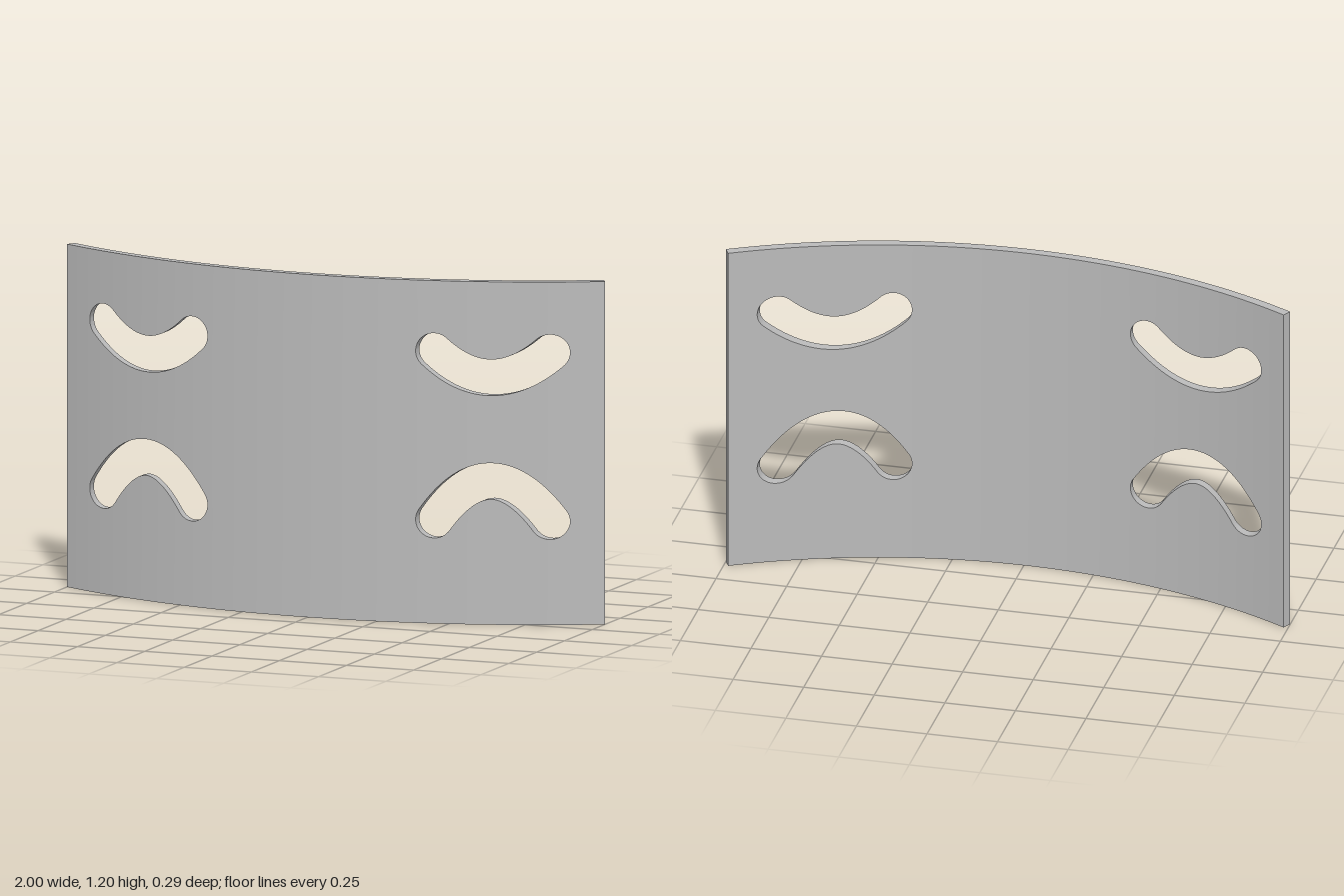
import * as THREE from 'three';
import { toCreasedNormals } from 'three/addons/utils/BufferGeometryUtils.js';

const HEIGHT = 1.195, THICK = 0.034, R_FRONT = 2.08, Z_AXIS = 0.143 - R_FRONT;
const R_BACK = R_FRONT - THICK;
const SLOT_X = 0.64, SLOT_R = 0.063, SLOT_REACH = 0.19, SLOT_HALF = SLOT_R + SLOT_REACH;

// Each slot is a disc swept along a parabola: y at the middle and at the two ends
const slots = [
  { mid: 0.5, end: 0.361 },   // arching slot
  { mid: 0.861, end: 0.949 }, // sagging slot
];

// Lower and upper edge of a slot at a distance u from its middle
function slotEdges({ mid, end }, u) {
  let lo = Infinity, hi = -Infinity;
  for (let i = 0; i <= 240; i++) {
    const s = i / 120 - 1;
    const d = u - s * SLOT_REACH;
    if (Math.abs(d) > SLOT_R + 1e-9) continue;
    const h = Math.sqrt(Math.max(0, SLOT_R * SLOT_R - d * d));
    const y = mid + (end - mid) * s * s;
    lo = Math.min(lo, y - h);
    hi = Math.max(hi, y + h);
  }
  return lo <= hi ? [lo, hi] : [end, end];
}

// Points on the two curved faces; the back narrows towards the radial ends
const front = (x, y) => [x, y, Z_AXIS + Math.sqrt(R_FRONT ** 2 - x * x)];
function back(x, y) {
  const t = Math.max(0, (Math.abs(x) - 0.9) / 0.1);
  const bx = x * (1 - t * (1 - R_BACK / R_FRONT));
  return [bx, y, Z_AXIS + Math.sqrt(R_BACK ** 2 - bx * bx)];
}

// Column positions, closer together at the round ends of the slots
function columns() {
  const xs = [];
  const even = (a, b, n) => { for (let i = 0; i < n; i++) xs.push(a + ((b - a) * i) / n); };
  const slot = (c) => {
    for (let i = 0; i < 64; i++) xs.push(c - SLOT_HALF * Math.cos((Math.PI * i) / 64));
  };
  even(-1, -SLOT_X - SLOT_HALF, 6);
  slot(-SLOT_X);
  even(-SLOT_X + SLOT_HALF, SLOT_X - SLOT_HALF, 32);
  slot(SLOT_X);
  even(SLOT_X + SLOT_HALF, 1, 6);
  xs.push(1);
  return xs;
}

function plateGeometry() {
  const pos = [];
  const quad = (a, b, c, d) => pos.push(...a, ...b, ...c, ...a, ...c, ...d);
  const xs = columns();
  // Heights up each column: bottom, the edges of both slots, top
  const levels = xs.map((x) => {
    const u = Math.abs(x) - SLOT_X;
    return [0, ...slots.flatMap((s) => slotEdges(s, u)), HEIGHT];
  });

  for (let i = 0; i + 1 < xs.length; i++) {
    const a = xs[i], b = xs[i + 1], p = levels[i], q = levels[i + 1];
    const inSlot = Math.abs(Math.abs((a + b) / 2) - SLOT_X) < SLOT_HALF;
    const up = (k) => quad(front(a, p[k]), front(b, q[k]), back(b, q[k]), back(a, p[k]));
    const down = (k) => quad(back(a, p[k]), back(b, q[k]), front(b, q[k]), front(a, p[k]));
    // Solid bands below, between and above the slots
    for (let k = 0; k < 6; k += 2) {
      quad(front(a, p[k]), front(b, q[k]), front(b, q[k + 1]), front(a, p[k + 1]));
      quad(back(b, q[k]), back(a, p[k]), back(a, p[k + 1]), back(b, q[k + 1]));
    }
    // Rims and slot walls
    down(0);
    up(5);
    if (inSlot) {
      up(1); down(2);
      up(3); down(4);
    }
  }
  // End faces
  quad(front(1, 0), back(1, 0), back(1, HEIGHT), front(1, HEIGHT));
  quad(back(-1, 0), front(-1, 0), front(-1, HEIGHT), back(-1, HEIGHT));

  const geo = new THREE.BufferGeometry();
  geo.setAttribute('position', new THREE.Float32BufferAttribute(pos, 3));
  return toCreasedNormals(geo, 0.6);
}

export function createModel() {
  const grey = new THREE.MeshStandardMaterial({ color: 0xbababa });
  grey.name = 'grey';
  const plate = new THREE.Mesh(plateGeometry(), grey);
  plate.name = 'curvedSlottedPlate';
  const model = new THREE.Group();
  model.name = 'curvedPlate';
  model.add(plate);
  return model;
}
